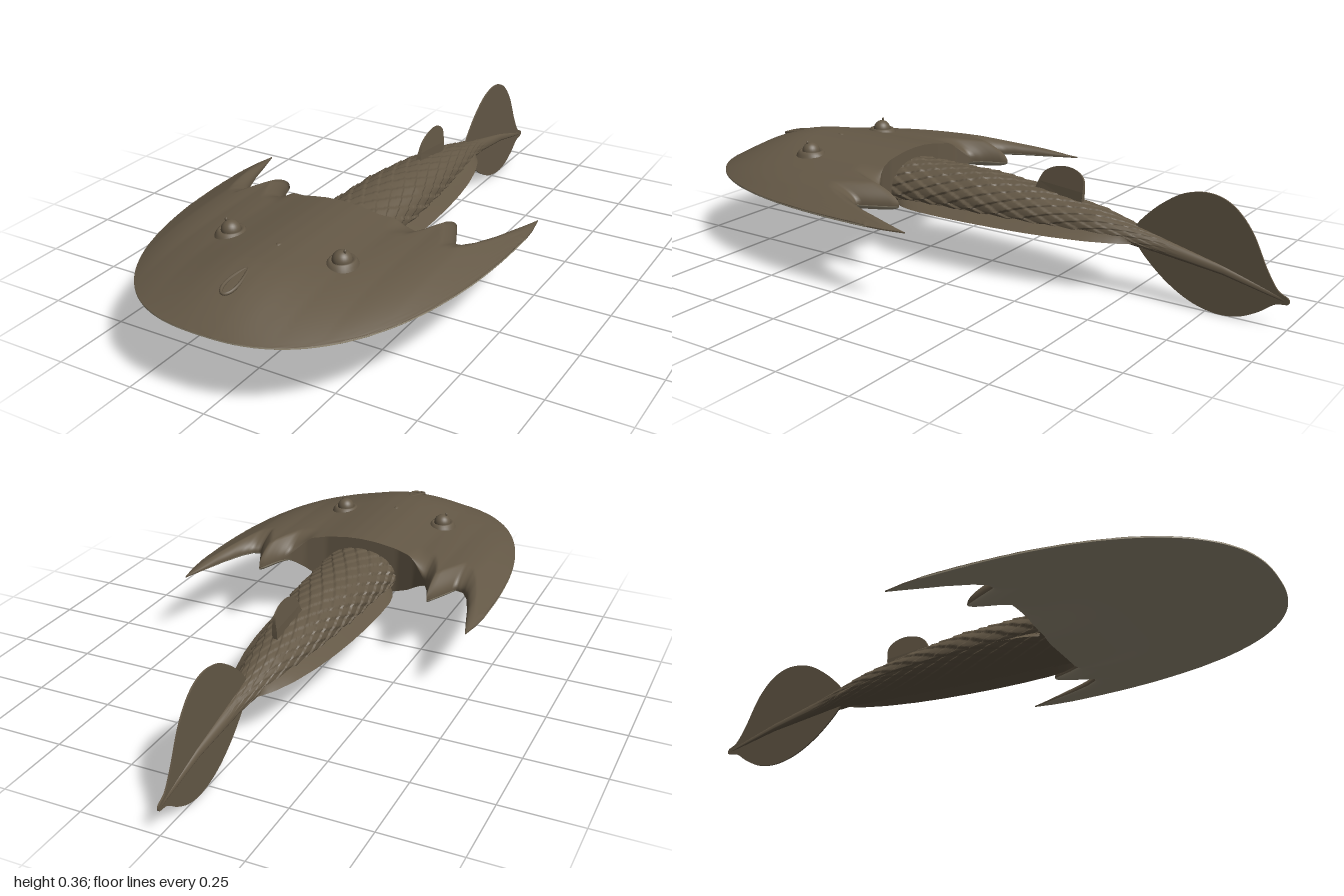
import * as THREE from 'three';

function paint(name, color) {
  const m = new THREE.MeshStandardMaterial({ color, side: THREE.DoubleSide });
  m.name = name;
  return m;
}
const hide = paint('brown hide', 0x645846);
const belly = paint('pale belly', 0x9c927c);

const { smoothstep, lerp, clamp } = THREE.MathUtils;

// Piecewise linear lookup in [position, value] pairs with rising positions
function at(keys, p) {
  if (p <= keys[0][0]) return keys[0][1];
  for (let i = 1; i < keys.length; i++) {
    const [a, va] = keys[i - 1], [b, vb] = keys[i];
    if (p <= b) return lerp(va, vb, (p - a) / (b - a));
  }
  return keys[keys.length - 1][1];
}

// Surface of nu x nv cells from fn(i, j) -> [x, y, z]
function sheet(fn, nu, nv, flip = false) {
  const pos = [], idx = [];
  for (let i = 0; i <= nu; i++) for (let j = 0; j <= nv; j++) pos.push(...fn(i, j));
  for (let i = 0; i < nu; i++) for (let j = 0; j < nv; j++) {
    const a = i * (nv + 1) + j, b = a + 1, c = a + nv + 1, d = c + 1;
    if (flip) idx.push(a, c, b, b, c, d);
    else idx.push(a, b, c, b, d, c);
  }
  const g = new THREE.BufferGeometry();
  g.setAttribute('position', new THREE.Float32BufferAttribute(pos, 3));
  g.setIndex(idx);
  g.computeVertexNormals();
  return g;
}

function add(parent, name, geometry, material = hide) {
  const m = new THREE.Mesh(geometry, material);
  m.name = name;
  parent.add(m);
  return m;
}

// --- Head shield rules ---
const HALF = 0.505, RIM = 0.243;
const backEdge = [[0, 0.31], [0.13, 0.31], [0.2, 0.29], [0.25, 0.26], [0.275, 0.21], [0.3, 0.14],
  [0.335, 0.215], [0.355, 0.26], [0.385, 0.25], [0.41, 0.21], [0.44, 0.13], [0.46, 0.06],
  [0.487, -0.03], [0.5, 0.04], [HALF, 0.1]];
const crown = [[0, 0.092], [0.05, 0.09], [0.1, 0.083], [0.15, 0.074], [0.2, 0.067], [0.3, 0.064], [0.4, 0.078], [0.5, 0.07]];
const frontEdge = x => 0.1 + 0.895 * Math.pow(Math.max(0, 1 - Math.pow(Math.abs(x) / HALF, 2.5)), 0.4);

// outer rim from the snout round to the horn tip
const rimPoints = [];
for (let i = 0; i <= 160; i++) {
  const t = i / 160 * Math.PI / 2;
  rimPoints.push([HALF * Math.pow(Math.sin(t), 0.8), 0.1 + 0.895 * Math.pow(Math.max(0, Math.cos(t)), 0.8)]);
}
for (let i = 0; i < 16; i++) {
  const z = lerp(0.1, -0.03, i / 15);
  rimPoints.push([at([[-0.03, 0.487], [0.04, 0.5], [0.1, HALF]], z), z]);
}

// 0 on the rim and on the horn edges, 1 on the plateau
function swell(x, z, reach) {
  const ax = Math.abs(x);
  if (frontEdge(x) - z < 1e-5) return 0;
  let d = 9;
  for (const [px, pz] of rimPoints) d = Math.min(d, Math.hypot(px - ax, pz - z));
  const s = 1 - Math.pow(1 - Math.min(d / reach, 1), 2);
  const e = clamp((z - at(backEdge, ax)) / 0.09, 0, 1);
  return s * lerp(1, Math.sqrt(e), smoothstep(ax, 0.17, 0.27));
}
const topY = (x, z) => RIM + at(crown, Math.abs(x)) * swell(x, z, 0.28);
const bottomY = (x, z) => RIM - 0.004 - 0.024 * swell(x, z, 0.2)
  - 0.057 * (1 - smoothstep(z, 0.33, 0.68)) * (1 - smoothstep(Math.abs(x), 0.08, 0.27));

function headShield() {
  const g = new THREE.Group();
  g.name = 'headShield';
  // columns pass through every corner of the rear edge
  const half = [];
  backEdge.forEach(([x], k) => {
    if (!k) return;
    const x0 = backEdge[k - 1][0], n = Math.max(3, Math.round((x - x0) / 0.012));
    for (let i = 1; i <= n; i++) half.push(lerp(x0, x, i / n));
  });
  const xs = [...half.map(x => -x).reverse(), 0, ...half];
  const nu = xs.length - 1, nv = 48;
  const zAt = (i, j) => {
    const v = 0.5 - 0.5 * Math.cos(Math.PI * j / nv);
    return lerp(at(backEdge, Math.abs(xs[i])), frontEdge(xs[i]), v);
  };
  const surface = h => (i, j) => { const z = zAt(i, j); return [xs[i], h(xs[i], z), z]; };
  add(g, 'shieldTop', sheet(surface(topY), nu, nv));
  add(g, 'shieldUnderside', sheet(surface(bottomY), nu, nv, true), belly);
  // walls closing the rear edge and the thin rim
  const wall = jj => (i, j) => {
    const z = zAt(i, jj);
    return [xs[i], j ? topY(xs[i], z) : bottomY(xs[i], z), z];
  };
  add(g, 'shieldRearWall', sheet(wall(0), nu, 1));
  add(g, 'shieldRim', sheet(wall(nv), nu, 1, true), belly);
  return g;
}

// --- Scaled trunk tapering into the tail ---
const trunkTop = [[-1, 0.09], [-0.8, 0.152], [-0.5, 0.225], [-0.4, 0.25], [-0.2, 0.28], [0, 0.298], [0.33, 0.3]];
const trunkBottom = [[-1, 0.08], [-0.8, 0.125], [-0.5, 0.166], [0.33, 0.162]];
const trunkWidth = [[-1, 0.002], [-0.8, 0.011], [-0.6, 0.027], [-0.52, 0.042], [-0.4, 0.066],
  [-0.2, 0.093], [0, 0.113], [0.33, 0.128]];

function trunk() {
  const nu = 160, nv = 210, frac = v => v - Math.floor(v);
  return sheet((i, j) => {
    const z = lerp(-1, 0.33, j / nv), a = (i % nu) / nu * Math.PI * 2;
    const lo = at(trunkBottom, z), hi = at(trunkTop, z), w = at(trunkWidth, z);
    const mid = lerp(lo, hi, 0.35), s = Math.sin(a), c = Math.cos(a);
    // diamond scales, each raised toward its rear tip
    const u = a / (Math.PI * 2) * 16, v = z / 0.09;
    const slope = frac(v + u) + frac(v - u);
    const lift = 1 + 0.05 * (1 - slope) * smoothstep(z, -0.7, -0.5);
    const y = (s > 0 ? hi - mid : mid - lo) * Math.sign(s) * Math.pow(Math.abs(s), 0.9);
    return [w * c * lift, mid + y * lift, z];
  }, nu, nv, true);
}

// Upright fin from a [z, y] outline
function uprightFin(points, thick) {
  const shape = new THREE.Shape();
  shape.moveTo(-points[0][0], points[0][1]);
  shape.splineThru(points.slice(1).map(([z, y]) => new THREE.Vector2(-z, y)));
  const g = new THREE.ExtrudeGeometry(shape, { depth: thick, bevelEnabled: false, curveSegments: 40 });
  g.translate(0, 0, -thick / 2);
  return g.rotateY(Math.PI / 2);
}

// Dorsal fin, thinning toward its crest
function dorsalFin() {
  const g = uprightFin([[-0.16, 0.26], [-0.175, 0.3], [-0.2, 0.34], [-0.25, 0.361], [-0.3, 0.359],
    [-0.333, 0.335], [-0.335, 0.29], [-0.33, 0.24]], 0.016);
  const p = g.attributes.position;
  for (let i = 0; i < p.count; i++) p.setX(i, p.getX(i) * clamp((0.368 - p.getY(i)) / 0.08, 0.1, 1));
  g.computeVertexNormals();
  return g;
}

// Ridge fin along the lower flank
const finReach = [[-0.53, 0.036], [-0.48, 0.068], [-0.4, 0.098], [-0.3, 0.122], [-0.2, 0.138], [-0.1, 0.148],
  [0, 0.154], [0.1, 0.156], [0.2, 0.152], [0.25, 0.142], [0.29, 0.125]];
function flankFin(side) {
  return sheet((i, j) => {
    const z = lerp(-0.53, 0.29, i / 40), t = j / 3;
    const inner = at(trunkWidth, z) * 0.9;
    return [side * lerp(inner, Math.max(inner, at(finReach, z)), t), lerp(0.2, 0.175, t), z];
  }, 40, 3, side < 0);
}

function eye(side) {
  const g = new THREE.Group();
  g.name = side > 0 ? 'leftEye' : 'rightEye';
  const x = side * 0.185, z = 0.6, y = topY(x, z);
  g.position.set(x, y, z);
  const socket = [[0.048, -0.012], [0.043, 0.003], [0.037, 0.011], [0.032, 0.012], [0.027, 0.008]]
    .map(p => new THREE.Vector2(...p));
  add(g, 'eyeSocket', new THREE.LatheGeometry(socket, 32)).scale.z = 1.12;
  add(g, 'eyeball', new THREE.SphereGeometry(0.029, 28, 18)).position.y = 0.35 - 0.029 - y;
  const pupil = add(g, 'pupil', new THREE.SphereGeometry(0.004, 10, 8));
  pupil.position.set(side * 0.012, 0.351 - y, 0.004);
  pupil.scale.y = 1.6;
  return g;
}

export function createModel() {
  const root = new THREE.Group();
  root.name = 'armouredFish';
  root.add(headShield());
  add(root, 'scaledTrunk', trunk());

  add(root, 'dorsalFin', dorsalFin());
  add(root, 'tailFin', uprightFin([[-0.5, 0.2], [-0.54, 0.25], [-0.6, 0.305], [-0.67, 0.347], [-0.75, 0.36],
    [-0.82, 0.335], [-0.88, 0.27], [-0.93, 0.17], [-0.965, 0.115], [-0.998, 0.095], [-0.998, 0.078],
    [-0.96, 0.07], [-0.91, 0.035], [-0.85, 0.008], [-0.78, 0.002], [-0.7, 0.022], [-0.62, 0.068],
    [-0.55, 0.13], [-0.51, 0.18]], 0.005));

  for (const side of [1, -1]) {
    add(root, side > 0 ? 'leftFlankFin' : 'rightFlankFin', flankFin(side));
    root.add(eye(side));
  }

  // teardrop nostril rim, lifting off the shield toward the snout
  const loop = [];
  for (let i = 0; i < 20; i++) {
    const a = i / 20 * Math.PI * 2, c = Math.cos(a), z = 0.83 + 0.055 * c;
    const x = (0.018 + 0.007 * c) * Math.sin(a);
    loop.push(new THREE.Vector3(x, topY(x, z) + 0.004 * c, z));
  }
  add(root, 'nostril', new THREE.TubeGeometry(new THREE.CatmullRomCurve3(loop, true), 60, 0.005, 8, true));

  // small bump between the eyes
  const bump = add(root, 'pinealBump', new THREE.SphereGeometry(0.008, 14, 10));
  bump.position.set(0, topY(0, 0.63) - 0.002, 0.63);
  bump.scale.set(1, 0.6, 1.4);
  return root;
}
